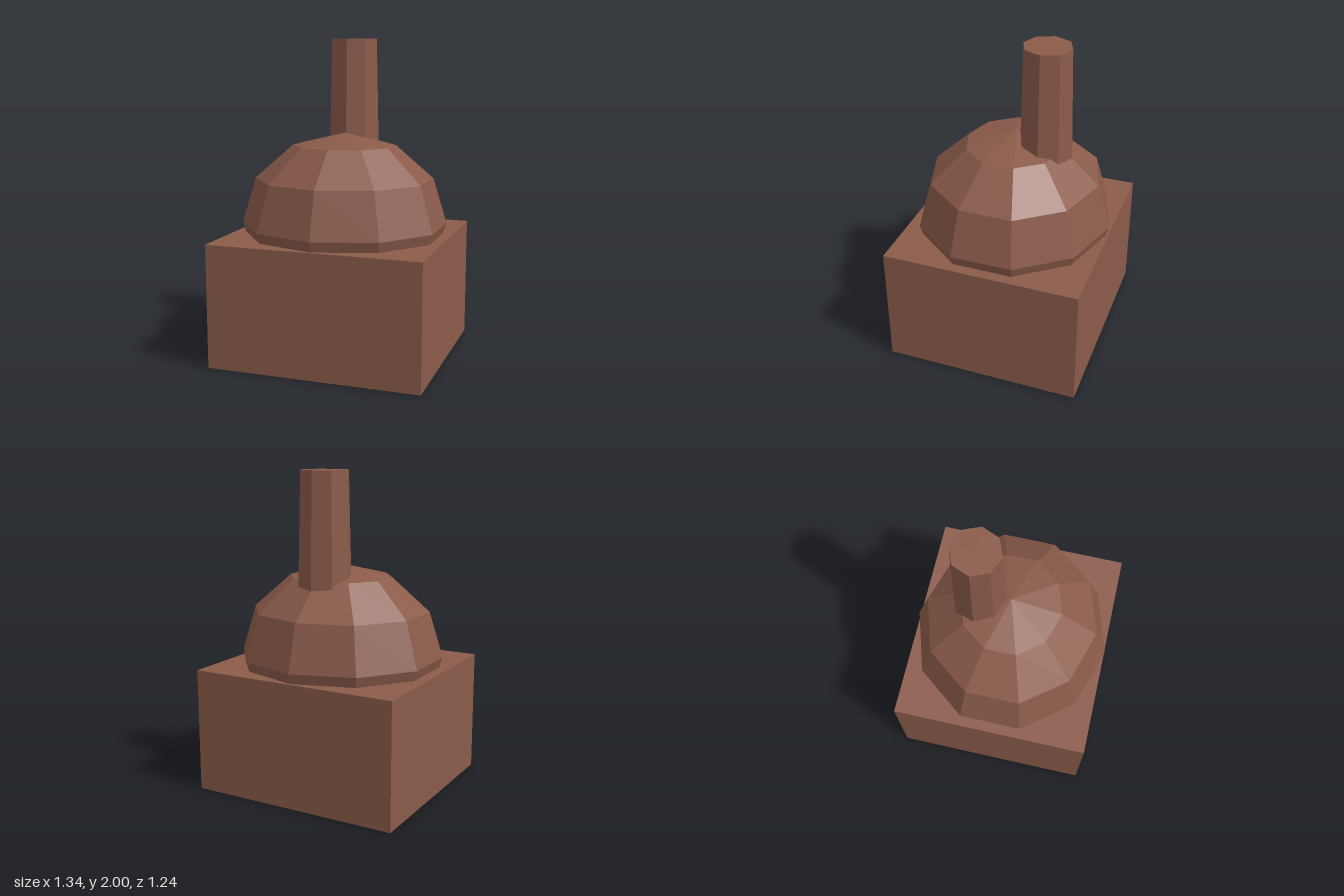
import * as THREE from 'three';

export function createModel() {
  const group = new THREE.Group();
  const clay = new THREE.MeshStandardMaterial({ color: 0x8b5b4a });
  clay.flatShading = true;

  const add = (name, geometry, x, y, z) => {
    const mesh = new THREE.Mesh(geometry, clay);
    mesh.name = name;
    mesh.position.set(x, y, z);
    group.add(mesh);
  };

  // Square block
  add('base', new THREE.BoxGeometry(1.344, 0.776, 1.24), 0, 0.388, 0);

  // Ten-sided faceted dome, sunk into the block, corners on the z axis
  const dome = new THREE.SphereGeometry(1, 10, 6);
  dome.rotateY(Math.PI / 2);
  dome.scale(0.655, 0.575, 0.622);
  add('dome', dome, 0, 0.84, 0);

  // Tapered eight-sided chimney towards the back
  const bottom = 1.2;
  add('chimney', new THREE.CylinderGeometry(0.15, 0.17, 2 - bottom, 8), 0, (2 + bottom) / 2, -0.196);

  return group;
}
